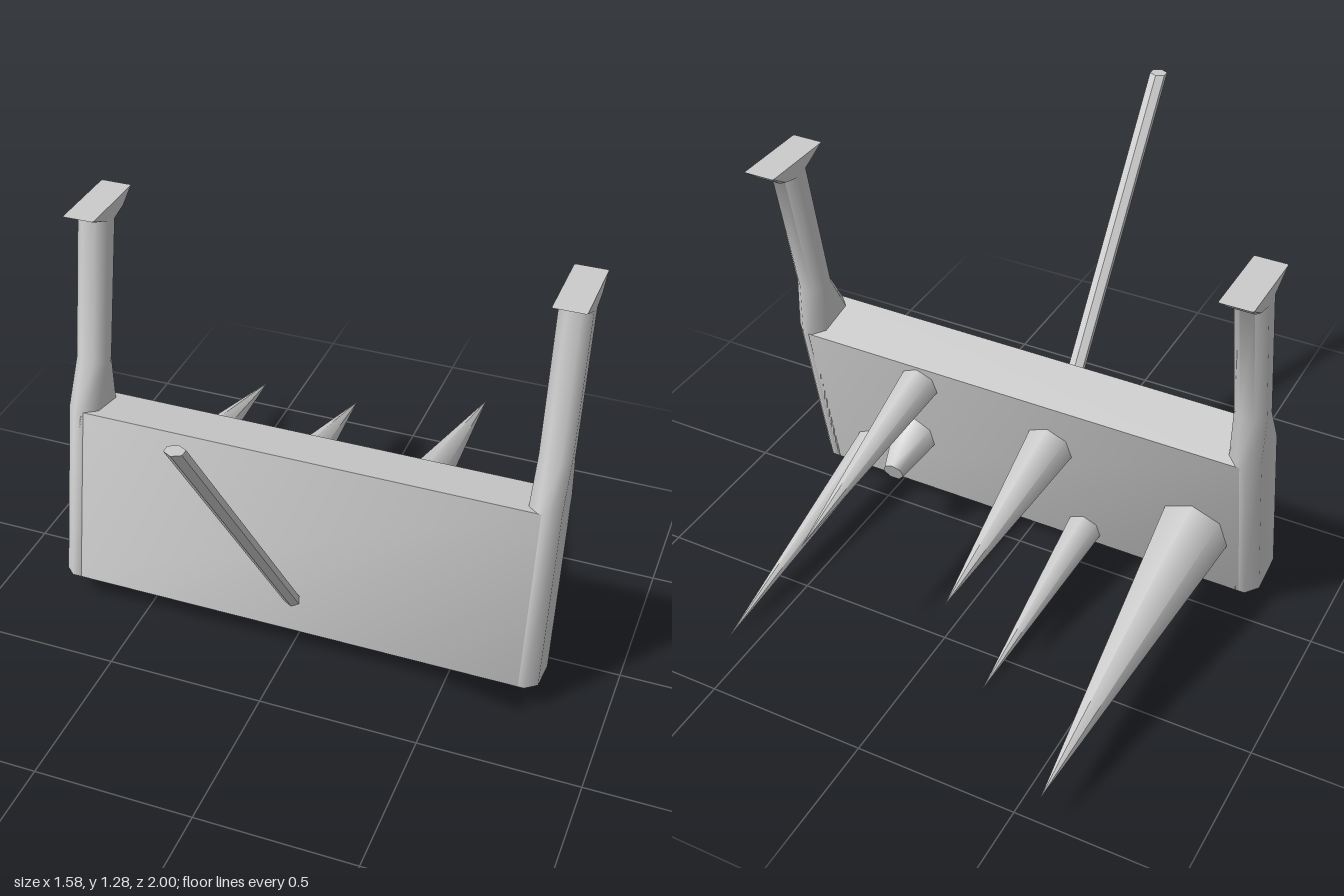
import * as THREE from 'three';
import { toCreasedNormals } from 'three/addons/utils/BufferGeometryUtils.js';

const material = new THREE.MeshStandardMaterial({ color: 0xcccccc });

// Skin a stack of rings (bottom to top, each counter-clockwise from above) and cap both ends
function loft(rings, crease) {
  const n = rings[0].length, last = rings.length - 1, index = [];
  for (let r = 0; r < last; r++) {
    for (let i = 0; i < n; i++) {
      const a = r * n + i, b = r * n + (i + 1) % n;
      index.push(a, b, b + n, a, b + n, a + n);
    }
  }
  for (let i = 1; i < n - 1; i++) {
    index.push(0, i + 1, i);
    index.push(last * n, last * n + i, last * n + i + 1);
  }
  const geometry = new THREE.BufferGeometry().setFromPoints(rings.flat());
  geometry.setIndex(index);
  return toCreasedNormals(geometry, crease);
}

// Chamfered rectangle spanning a front and a back point [z, y]
function slabRing(front, back, halfWidth, c) {
  const depth = front[0] - back[0];
  const corners = [
    [halfWidth, c], [halfWidth, depth - c], [halfWidth - c, depth], [c - halfWidth, depth],
    [-halfWidth, depth - c], [-halfWidth, c], [c - halfWidth, 0], [halfWidth - c, 0],
  ];
  return corners.map(([x, d]) => {
    const t = d / depth;
    return new THREE.Vector3(
      x, THREE.MathUtils.lerp(front[1], back[1], t), THREE.MathUtils.lerp(front[0], back[0], t));
  });
}

export function createModel() {
  const group = new THREE.Group();
  const add = (name, geometry) => {
    const mesh = new THREE.Mesh(geometry, material);
    mesh.name = name;
    group.add(mesh);
    return mesh;
  };

  // Leaning slab between the two posts
  const bottom = [[0.25, 0.088], [0.06, 0.05]];
  const top = [[0.14, 0.66], [-0.05, 0.622]];
  add('panel', loft([
    slabRing(...bottom, 0.74, 0.004),
    slabRing(...top, 0.74, 0.004),
  ], 0.9));

  // End posts: thick lower part, slim neck and flared head
  const postGeometry = loft([
    slabRing(...bottom, 0.05, 0.035),
    slabRing(...top, 0.05, 0.035),
    slabRing([0.06, 0.79], [-0.035, 0.785], 0.05, 0.028),
    slabRing([-0.025, 1.245], [-0.125, 1.22], 0.05, 0.028),
    slabRing([0.0, 1.258], [-0.17, 1.24], 0.05, 0.012),
    slabRing([0.04, 1.28], [-0.22, 1.28], 0.05, 0.004),
  ], 0.95);
  for (const side of [-1, 1]) {
    add(side > 0 ? 'leftPost' : 'rightPost', postGeometry).position.x = side * 0.74;
  }

  // Slanted hexagonal strut on the front, cut level at its ends
  const strutRing = (y, z) => [
    [0.025, -0.012], [0, -0.025], [-0.025, -0.012], [-0.025, 0.012], [0, 0.025], [0.025, 0.012],
  ].map(([x, dz]) => new THREE.Vector3(x, y, z + dz));
  add('strut', loft([strutRing(0.12, 0.175), strutRing(1.257, 0.975)], 0.8));

  // Spikes on the back: [base, tip, base radius, tip radius]
  const spikes = [
    [[-0.585, 0.275, 0.02], [-0.58, 0.105, -1.0], 0.115, 0],
    [[-0.205, 0.105, 0.05], [-0.205, 0.004, -0.64], 0.058, 0],
    [[-0.108, 0.45, -0.01], [-0.108, 0.335, -0.675], 0.08, 0],
    [[0.338, 0.55, -0.03], [0.338, 0.415, -0.725], 0.065, 0],
    [[0.575, 0.185, 0.04], [0.58, 0.012, -0.82], 0.053, 0],
    [[0.395, 0.3, 0.02], [0.385, 0.25, -0.14], 0.08, 0.035],
  ];
  for (const [from, to, baseRadius, tipRadius] of spikes) {
    const base = new THREE.Vector3(...from), tip = new THREE.Vector3(...to);
    const axis = tip.clone().sub(base);
    const spike = add(tipRadius ? 'brokenSpike' : 'spike',
      toCreasedNormals(new THREE.CylinderGeometry(tipRadius, baseRadius, axis.length(), 7), 1.1));
    spike.position.copy(base).add(tip).multiplyScalar(0.5);
    spike.quaternion.setFromUnitVectors(new THREE.Vector3(0, 1, 0), axis.normalize());
  }

  return group;
}
